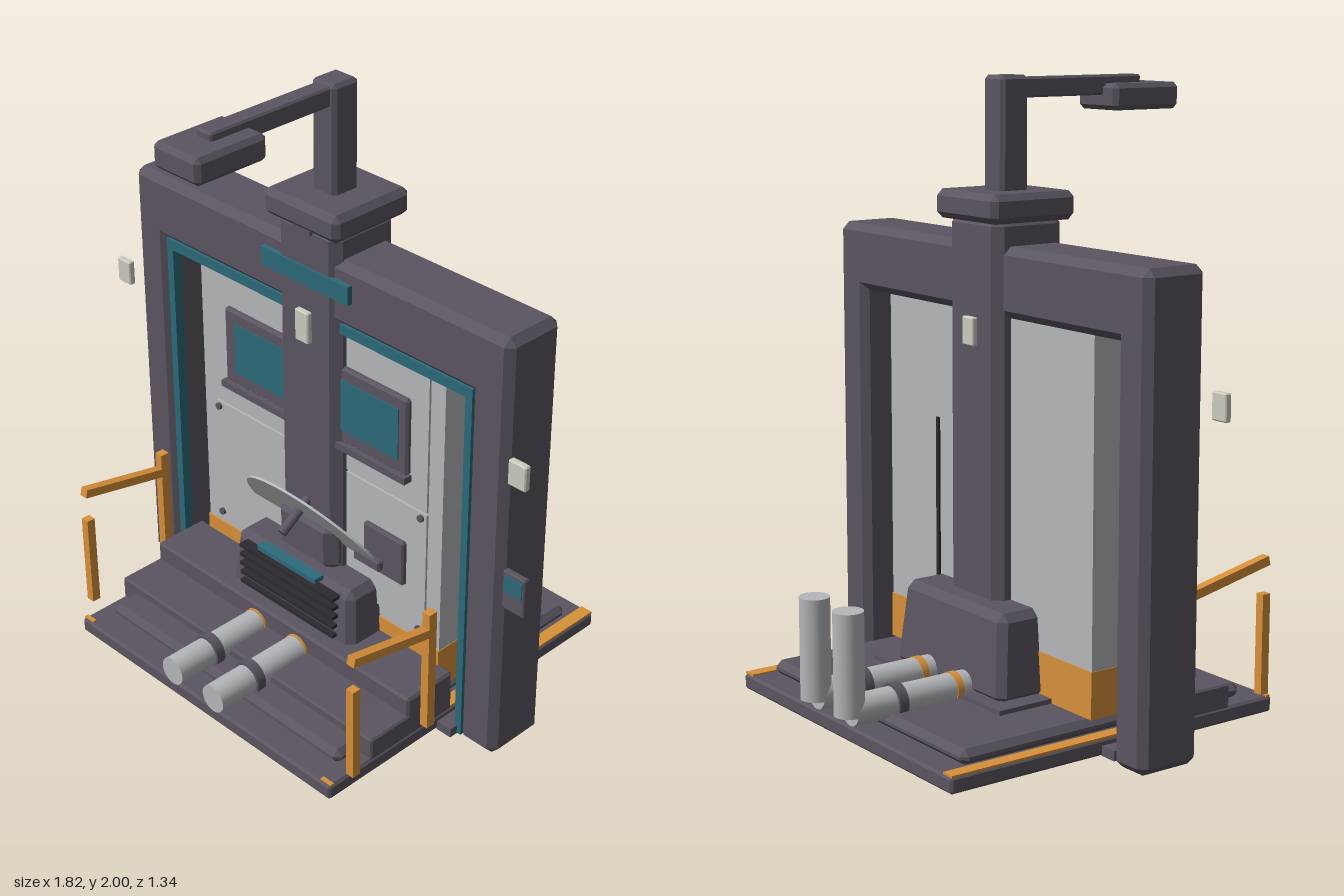
import * as THREE from 'three';
import { ConvexGeometry } from 'three/addons/geometries/ConvexGeometry.js';

const mat = (name, color, side = THREE.FrontSide) => {
  const m = new THREE.MeshStandardMaterial({ color, side });
  m.name = name;
  return m;
};

export function createModel() {
  const model = new THREE.Group();
  const dark = mat('dark grey', 0x5a5560), grey = mat('light grey', 0xb5b7ba);
  const orange = mat('orange', 0xd8903a), teal = mat('teal', 0x2c6a7a);
  const pale = mat('pale', 0xccccc0), shadow = mat('near black', 0x2c2a30);
  const CX = -0.0125; // centre line of the machine

  const add = (name, geometry, material, parent = model) => {
    const mesh = new THREE.Mesh(geometry, material);
    mesh.name = name;
    parent.add(mesh);
    return mesh;
  };
  const group = (name) => {
    const g = new THREE.Group();
    g.name = name;
    model.add(g);
    return g;
  };
  // plain box given by its limits
  const box = (name, m, x0, x1, y0, y1, z0, z1, parent) => {
    const mesh = add(name, new THREE.BoxGeometry(x1 - x0, y1 - y0, z1 - z0), m, parent);
    mesh.position.set((x0 + x1) / 2, (y0 + y1) / 2, (z0 + z1) / 2);
    return mesh;
  };
  // box with all edges chamfered by b; the top is drawn in by taper
  const chamfer = (name, m, x0, x1, y0, y1, z0, z1, b, parent, taper = 0) => {
    const pts = [];
    const c = [(x0 + x1) / 2, (y0 + y1) / 2, (z0 + z1) / 2];
    const h = [(x1 - x0) / 2, (y1 - y0) / 2, (z1 - z0) / 2];
    for (const sx of [-1, 1]) for (const sy of [-1, 1]) for (const sz of [-1, 1]) {
      const t = sy > 0 ? taper : 0;
      for (let a = 0; a < 3; a++) {
        const d = [b, b, b];
        d[a] = 0;
        pts.push(new THREE.Vector3(
          c[0] + sx * (h[0] - d[0] - t), c[1] + sy * (h[1] - d[1]), c[2] + sz * (h[2] - d[2] - t)));
      }
    }
    return add(name, new ConvexGeometry(pts), m, parent);
  };
  // cylinder along z
  const pipeZ = (name, m, r, x, y, z0, z1, parent) => {
    const mesh = add(name, new THREE.CylinderGeometry(r, r, z1 - z0, 28), m, parent);
    mesh.rotation.x = Math.PI / 2;
    mesh.position.set(x, y, (z0 + z1) / 2);
    return mesh;
  };

  // Stepped base
  const base = group('base');
  chamfer('baseSlab', dark, -0.605, 0.58, 0.003, 0.055, -0.6, 0.64, 0.008, base);
  chamfer('basePlate', dark, -0.553, 0.528, 0.05, 0.1, -0.52, 0.555, 0.02, base);
  chamfer('lowerStep', dark, -0.605, 0.58, 0.05, 0.13, 0.1, 0.46, 0.006, base);
  chamfer('upperStep', dark, -0.605, 0.58, 0.05, 0.196, 0.1, 0.3, 0.008, base);
  box('housingPlate', dark, -0.36, 0.335, 0.09, 0.115, -0.25, 0.1, base);
  for (const s of [-1, 1]) {
    const x = CX + s * 0.568;
    box('edgeStripe', orange, x - 0.022, x + 0.022, 0.053, 0.06, -0.595, 0.1, base);
    box('cornerMark', orange, x - 0.022, x + 0.022, 0.053, 0.059, 0.618, 0.632, base);
    const f = CX + s * 0.62;
    box('threshold', dark, f - 0.03, f + 0.03, 0.003, 0.035, -0.05, 0.165, base);
  }

  // Portal frame with inner trim
  const gate = group('gate');
  chamfer('rightPost', dark, -0.822, -0.68, 0, 1.49, -0.077, 0.145, 0.025, gate);
  chamfer('leftPost', dark, 0.65, 0.797, 0, 1.49, -0.077, 0.145, 0.025, gate);
  chamfer('topBeam', dark, -0.80, 0.775, 1.27, 1.49, -0.077, 0.145, 0.025, gate);
  box('rightTrim', teal, -0.683, -0.655, 0.005, 1.265, 0.1, 0.135, gate);
  box('leftTrim', teal, 0.627, 0.653, 0.005, 1.265, 0.1, 0.135, gate);
  box('topTrim', teal, -0.683, 0.653, 1.24, 1.275, 0.1, 0.135, gate);

  // Back panel
  const panel = group('panel');
  box('panelBody', grey, -0.553, 0.525, 0.25, 1.28, -0.05, 0.105, panel);
  box('panelSkirt', orange, -0.555, 0.527, 0.1, 0.25, -0.053, 0.11, panel);
  box('upperPlate', grey, -0.487, 0.467, 0.747, 1.235, 0.1, 0.113, panel);
  box('lowerPlate', grey, -0.487, 0.467, 0.298, 0.738, 0.1, 0.113, panel);
  box('rearSeam', shadow, 0.24, 0.255, 0.3, 0.9, -0.057, -0.049, panel);
  for (const x of [-0.475, 0.445]) for (const y of [0.3, 0.72]) {
    pipeZ('screw', dark, 0.012, x, y, 0.11, 0.122, panel);
  }
  chamfer('windowFrame', dark, -0.42, 0.395, 0.853, 1.122, 0.105, 0.13, 0.008, panel);
  box('windowSill', dark, -0.425, 0.4, 0.832, 0.855, 0.105, 0.145, panel);
  box('windowGlass', teal, -0.37, 0.36, 0.9, 1.08, 0.126, 0.133, panel);
  chamfer('latchPlate', dark, 0.21, 0.385, 0.437, 0.6, 0.105, 0.13, 0.006, panel);
  chamfer('latchHandle', dark, 0.185, 0.3, 0.455, 0.495, 0.12, 0.15, 0.006, panel);

  // Central column, cap and overhead arm
  const column = group('column');
  chamfer('columnShaft', dark, -0.145, 0.12, 0.3, 1.58, -0.105, 0.157, 0.03, column);
  chamfer('columnCap', dark, -0.172, 0.147, 1.56, 1.65, -0.135, 0.183, 0.02, column);
  box('capTab', dark, -0.055, 0.02, 1.545, 1.57, 0.14, 0.168, column);
  chamfer('mast', dark, -0.066, 0.034, 1.62, 2, -0.027, 0.077, 0.012, column);
  chamfer('arm', dark, -0.047, 0.017, 1.93, 1.992, 0.06, 0.535, 0.006, column);
  chamfer('armHead', dark, -0.11, 0.083, 1.883, 1.967, 0.38, 0.645, 0.015, column);
  box('signPlate', teal, -0.202, 0.175, 1.37, 1.432, 0.145, 0.163, column);

  // Housing with louvres at the column foot
  const housing = group('housing');
  chamfer('housingBody', dark, -0.305, 0.277, 0.1, 0.38, -0.208, 0.25, 0.025, housing, 0.022);
  for (let i = 0; i < 5; i++) {
    const y = 0.212 + i * 0.0355;
    box('louvre', shadow, -0.23, 0.205, y - 0.006, y + 0.006, 0.2, 0.26, housing);
  }
  box('housingStripe', teal, -0.148, 0.12, 0.374, 0.39, 0.215, 0.255, housing);
  chamfer('driveBox', dark, -0.145, 0.12, 0.36, 0.55, 0.1, 0.182, 0.035, housing);

  // Tilted half-disc shield with its spindle
  const shield = group('shield');
  const tilt = Math.atan2(0.14, 0.21);
  const arc = new THREE.Shape();
  arc.absellipse(0, 0, 0.29, 0.25, 0, Math.PI, false, 0);
  arc.closePath();
  const disc = add('halfDisc', new THREE.ExtrudeGeometry(arc,
    { depth: 0.008, bevelEnabled: false, curveSegments: 32 }), grey, shield);
  disc.rotation.x = tilt;
  disc.position.set(-0.015, 0.46, 0.112);
  const spindle = add('spindle', new THREE.CylinderGeometry(0.016, 0.016, 0.14, 16), dark, shield);
  spindle.position.set(-0.015, 0.55, 0.21);
  spindle.rotation.x = Math.PI / 2 + tilt;

  // Twin pipes, front and rear
  const pipes = group('pipes');
  for (const x of [-0.11, 0.083]) {
    const r = 0.048, y = 0.123;
    pipeZ('frontPipe', grey, r, x, y, 0.25, 0.665, pipes);
    pipeZ('frontBand', orange, r + 0.003, x, y, 0.285, 0.308, pipes);
    pipeZ('frontClamp', dark, r + 0.009, x, y, 0.49, 0.522, pipes);
    pipeZ('rearPipe', grey, r, x, y, -0.625, -0.15, pipes);
    pipeZ('rearBand', orange, r + 0.003, x, y, -0.262, -0.238, pipes);
    pipeZ('rearClamp', dark, r + 0.009, x, y, -0.48, -0.448, pipes);
    const stack = add('stackPipe', new THREE.CylinderGeometry(r, r, 0.325, 28), grey, pipes);
    stack.position.set(x, 0.273, -0.627);
  }

  // Guard rails on both sides
  for (const s of [-1, 1]) {
    const rail = group(s < 0 ? 'rightGuardRail' : 'leftGuardRail');
    const x = CX + s * 0.62, w = 0.015;
    box('frontRailPost', orange, x - w, x + w, 0.085, 0.41, 0.552, 0.582, rail);
    box('rearRailPost', orange, x - w, x + w, 0.085, 0.52, 0.225, 0.258, rail);
    const bar = box('railBar', orange, x - w, x + w, 0.467, 0.497, 0.235, 0.58, rail);
    bar.rotation.x = -Math.atan2(0.07, 0.34);
  }

  // Sensors and control box
  const sensors = group('sensors');
  chamfer('rightSensor', pale, -0.912, -0.85, 1.045, 1.13, 0.14, 0.163, 0.004, sensors);
  chamfer('leftSensor', pale, 0.82, 0.888, 1.045, 1.13, 0.14, 0.163, 0.004, sensors);
  chamfer('frontSensor', pale, -0.043, 0.015, 1.175, 1.283, 0.15, 0.175, 0.004, sensors);
  chamfer('rearSensor', pale, -0.043, 0.015, 1.175, 1.265, -0.122, -0.1, 0.004, sensors);
  chamfer('controlBox', dark, 0.82, 0.905, 0.61, 0.745, 0.14, 0.163, 0.004, sensors);
  box('controlScreen', teal, 0.828, 0.897, 0.672, 0.733, 0.16, 0.166, sensors);

  return model;
}
